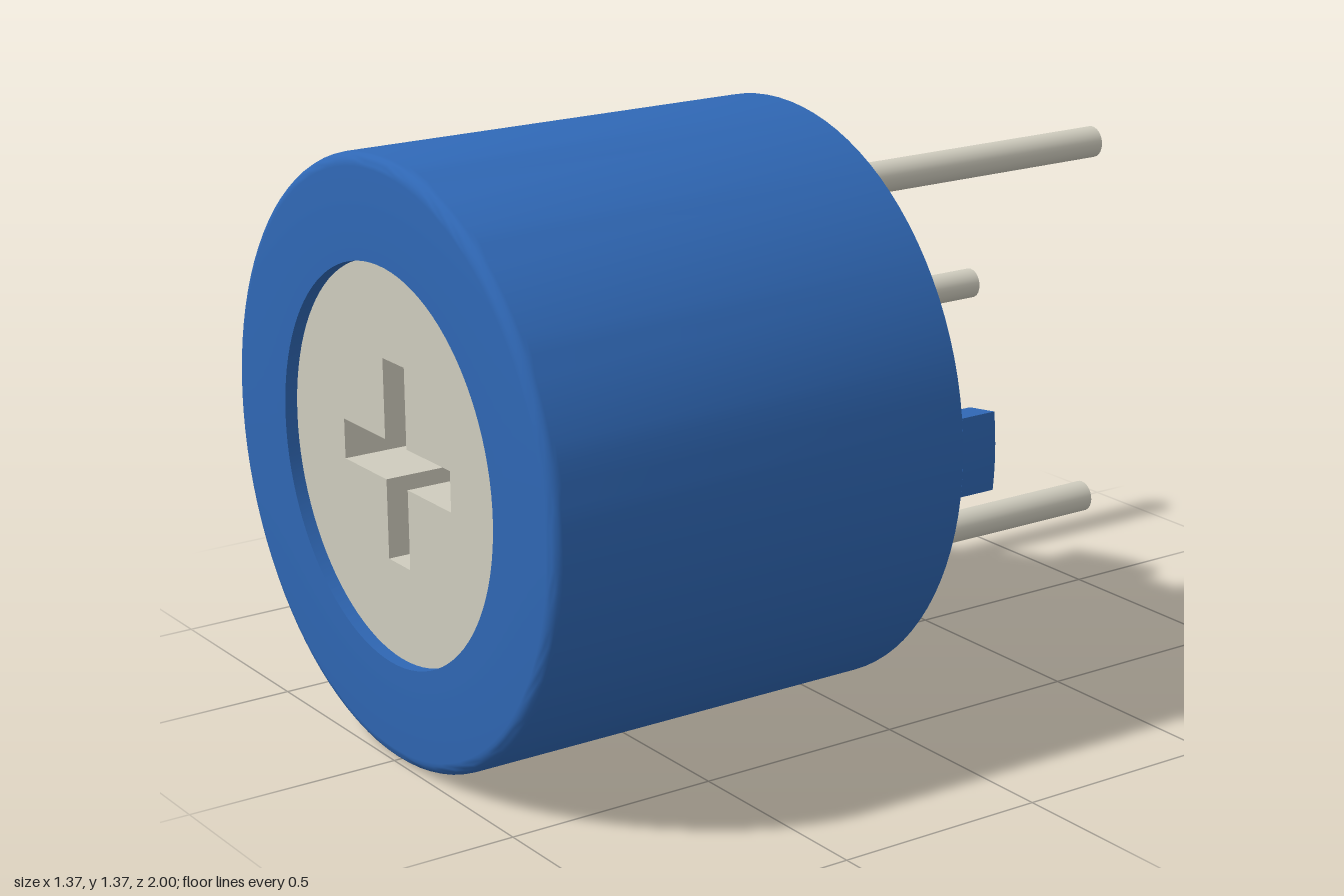
import * as THREE from 'three';
import { toCreasedNormals } from 'three/addons/utils/BufferGeometryUtils.js';

const R = 0.684;          // housing radius, also height of its axis
const BACK = -0.05;       // rear face of the housing
const RECESS = 0.97;      // front plane of the adjuster disc
const SLOT = 0.2;         // depth of the cross slot

function crossPoints(a, b) {
  return [[b, a], [-b, a], [-b, b], [-a, b], [-a, -b], [-b, -b],
    [-b, -a], [b, -a], [b, -b], [a, -b], [a, b], [b, b]]
    .map(([x, y]) => new THREE.Vector2(x, y));
}

export function createModel() {
  const blue = new THREE.MeshStandardMaterial({ color: 0x2f67b4 });
  blue.name = 'blue plastic';
  const metal = new THREE.MeshStandardMaterial({ color: 0xcfccbe });
  metal.name = 'pale metal';

  const model = new THREE.Group();
  model.name = 'trimmer';
  const core = new THREE.Group();
  core.name = 'core';
  core.position.y = R;
  model.add(core);

  const add = (name, geometry, material) => {
    const mesh = new THREE.Mesh(geometry, material);
    mesh.name = name;
    core.add(mesh);
    return mesh;
  };

  // Round housing with a softened front rim and a shallow recess
  const rim = 0.03;
  const profile = [new THREE.Vector2(0, BACK), new THREE.Vector2(R, BACK)];
  for (let i = 0; i <= 6; i++) {
    const a = (i / 6) * Math.PI / 2;
    profile.push(new THREE.Vector2(R - rim + rim * Math.cos(a), 1 - rim + rim * Math.sin(a)));
  }
  profile.push(new THREE.Vector2(0.45, 1), new THREE.Vector2(0.45, RECESS - 0.01));
  const housing = new THREE.LatheGeometry(profile, 96).rotateX(Math.PI / 2);
  add('housing', toCreasedNormals(housing, 0.6), blue);

  // Adjuster disc with a cross slot cut into it
  const disc = new THREE.Shape().absarc(0, 0, 0.45, 0, Math.PI * 2, false);
  disc.holes.push(new THREE.Path(crossPoints(0.229, 0.046).reverse()));
  const discGeometry = new THREE.ExtrudeGeometry(disc, { depth: SLOT, bevelEnabled: false, curveSegments: 48 });
  add('adjusterDisc', discGeometry, metal).position.z = RECESS - SLOT;
  const floor = new THREE.ShapeGeometry(new THREE.Shape(crossPoints(0.229, 0.046)));
  add('slotFloor', floor, metal).position.z = RECESS - SLOT + 0.001;

  // Three standoff tabs around the rear edge
  const half = 0.132;
  const tab = new THREE.Shape();
  tab.absarc(0, 0, R, -half, half, false);
  tab.absarc(0, 0, 0.6, half, -half, true);
  tab.closePath();
  const tabGeometry = toCreasedNormals(
    new THREE.ExtrudeGeometry(tab, { depth: 0.09, bevelEnabled: false, curveSegments: 6 }), 0.6);
  for (let i = 0; i < 3; i++) {
    const mesh = add('standoffTab', tabGeometry, blue);
    mesh.position.z = BACK - 0.09;
    mesh.rotation.z = i * Math.PI * 2 / 3;
  }

  // Three lead pins
  const length = 1 + BACK;
  const pinGeometry = new THREE.CylinderGeometry(0.038, 0.038, length, 24).rotateX(Math.PI / 2);
  for (const [x, y] of [[0, 0.458], [-0.458, 0], [0, -0.458]]) {
    add('pin', pinGeometry, metal).position.set(x, y, BACK - length / 2);
  }

  return model;
}
